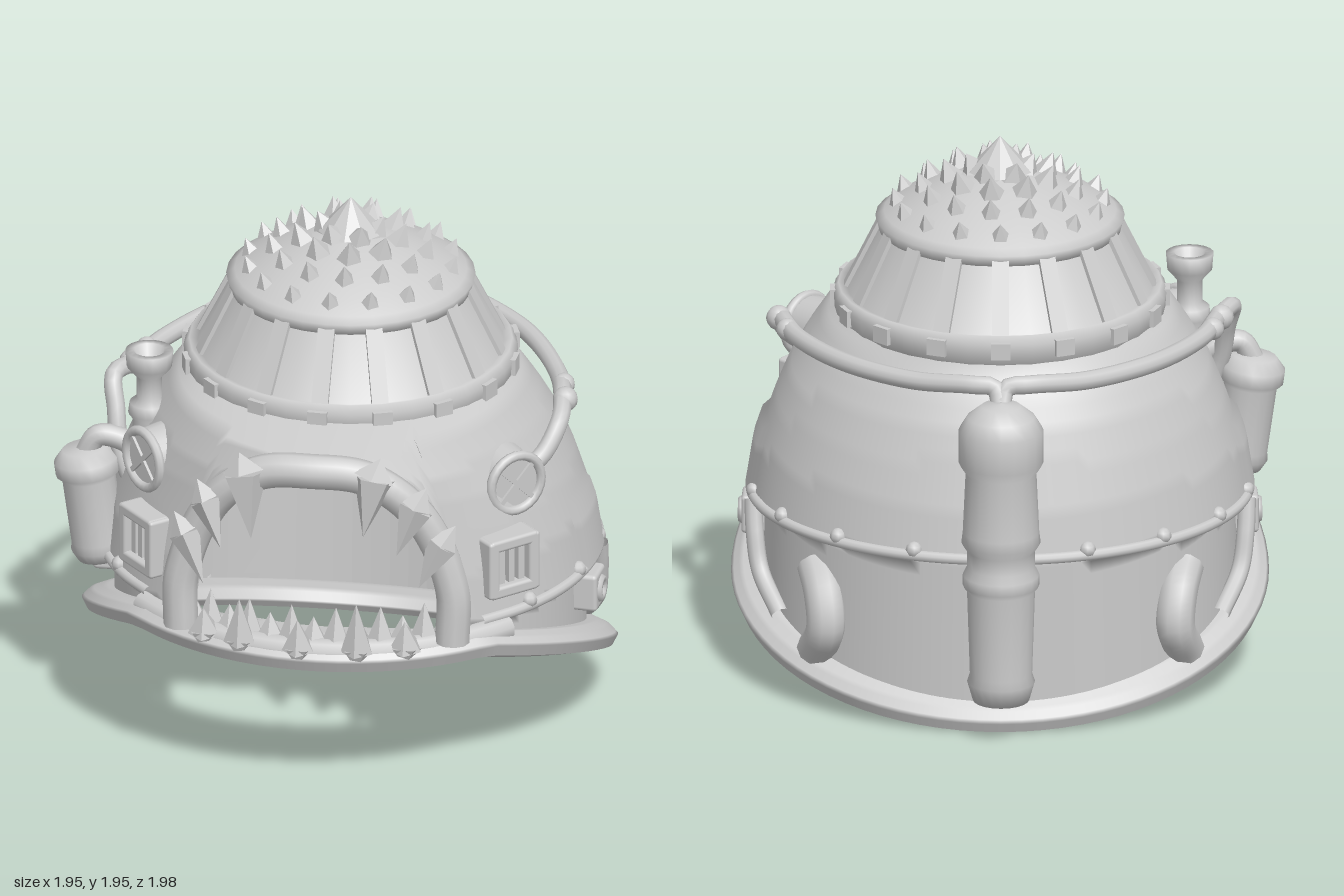
import * as THREE from 'three';
import { ParametricGeometry } from 'three/addons/geometries/ParametricGeometry.js';
import { RoundedBoxGeometry } from 'three/addons/geometries/RoundedBoxGeometry.js';

const mat = new THREE.MeshStandardMaterial({ color: 0xcccccc, side: THREE.DoubleSide });
const flat = new THREE.MeshStandardMaterial({ color: 0xcccccc, side: THREE.DoubleSide, flatShading: true });
const V = (x, y, z) => new THREE.Vector3(x, y, z);
const CX = 0.03, SHIFT = 0.05, MOUTH = 0.6, TAU = Math.PI * 2;

// Shell outline by height: y, half width, front reach, back reach
const OUTLINE = [
  [0.0, 0.84, 0.86, 0.74], [0.63, 0.83, 0.86, 0.75], [0.66, 0.88, 0.86, 0.79], [0.85, 0.85, 0.85, 0.76],
  [1.0, 0.8, 0.84, 0.72], [1.12, 0.75, 0.84, 0.68], [1.22, 0.69, 0.84, 0.63], [1.32, 0.62, 0.81, 0.57], [1.37, 0.56, 0.57, 0.55],
];

function outline(y) {
  let i = 0;
  while (i < OUTLINE.length - 2 && y > OUTLINE[i + 1][0]) i++;
  const a = OUTLINE[i], b = OUTLINE[i + 1];
  const t = THREE.MathUtils.clamp((y - a[0]) / (b[0] - a[0]), 0, 1);
  return [1, 2, 3].map(k => a[k] + (b[k] - a[k]) * t);
}

// Point on the shell; angle 0 is the front, positive towards +x
function surf(th, y, scale = 1, off = 0) {
  const [rx, zf, zb] = outline(y), c = Math.cos(th), s = Math.sin(th);
  return V(CX + (rx * scale + off) * s, y, ((c > 0 ? zf : zb) * scale + off) * c);
}

const brimHeight = z => Math.min(0.33 + 0.37 * z, 0.585);

function lowerEdge(th) {
  const a = THREE.MathUtils.euclideanModulo(th - SHIFT + Math.PI, TAU) - Math.PI;
  const u = Math.abs(a) / MOUTH;
  if (u < 1) return 0.64 + 0.62 * Math.pow(1 - u ** 3, 1 / 3);
  const c = Math.cos(th);
  return brimHeight((c > 0 ? 0.86 : 0.74) * c);
}

export function createModel() {
  const root = new THREE.Group();
  root.name = 'spikedHelmet';

  function add(geo, name, parent = root, m = mat) {
    const mesh = new THREE.Mesh(geo, m);
    mesh.name = name;
    parent.add(mesh);
    return mesh;
  }
  function tube(points, r, name, closed = false, n = 64) {
    return add(new THREE.TubeGeometry(new THREE.CatmullRomCurve3(points, closed), n, r, 10, closed), name);
  }
  function lathe(pts, name, n = 32) {
    return add(new THREE.LatheGeometry(pts.map(p => new THREE.Vector2(p[0], p[1])), n), name);
  }
  // Group on the shell whose +z points outwards
  function mount(name, th, y, off, yaw) {
    const g = new THREE.Group();
    g.name = name;
    g.position.copy(surf(th, y, 1, off));
    g.rotation.y = yaw;
    root.add(g);
    return g;
  }
  function spike(base, tip, r, name, sides = 5) {
    const d = tip.clone().sub(base);
    const m = add(new THREE.ConeGeometry(r, d.length(), sides), name, root, flat);
    m.position.copy(base).add(tip).multiplyScalar(0.5);
    m.quaternion.setFromUnitVectors(V(0, 1, 0), d.normalize());
  }

  // Shell with mouth opening, and its lining
  add(new ParametricGeometry((u, v, p) => {
    const th = u * TAU + Math.PI, lo = lowerEdge(th);
    p.copy(surf(th, lo + (1.37 - lo) * v));
  }, 144, 28), 'shell');
  add(new ParametricGeometry((u, v, p) => {
    const th = u * TAU + Math.PI, lo = lowerEdge(th);
    p.copy(surf(th, lo + (1.33 - lo) * v, 0.92));
  }, 72, 12), 'lining', root, flat);

  // Tilted brim ring swept round the lower edge
  const section = [[1, -0.02], [1.02, 0.02], [0.99, 0.05], [0.94, 0.07], [0.88, 0.07], [0.76, 0.05], [0.71, 0.0], [0.74, -0.03], [0.93, -0.034], [1, -0.02]];
  add(new ParametricGeometry((u, v, p) => {
    const f = v * (section.length - 1), i = Math.min(Math.floor(f), section.length - 2), t = f - i;
    const k = section[i][0] * (1 - t) + section[i + 1][0] * t, dy = section[i][1] * (1 - t) + section[i + 1][1] * t;
    const th = u * TAU, z = (Math.cos(th) > 0 ? 0.94 : 0.78) * k * Math.cos(th);
    p.set(CX + 0.93 * k * Math.sin(th), brimHeight(z) + dy, z);
  }, 80, 27), 'brim');

  // Belt seam round the sides and back, with rivets
  const belt = [];
  for (let i = 0; i <= 24; i++) belt.push(surf(0.75 + (TAU - 1.5) * i / 24, 0.67));
  tube(belt, 0.02, 'belt', false, 96);
  for (let i = 0; i < 13; i++) {
    add(new THREE.SphereGeometry(0.03, 8, 6), 'beltRivet').position.copy(surf(1 + (TAU - 2) * i / 12, 0.69));
  }

  // Collar, panelled cone and cap
  lathe([[0.54, 1.3], [0.585, 1.33], [0.59, 1.4], [0.57, 1.43], [0.54, 1.42], [0.42, 1.66]], 'collarAndCone').position.x = CX;
  lathe([[0.4, 1.63], [0.43, 1.64], [0.44, 1.68], [0.41, 1.7], [0.35, 1.74], [0.25, 1.79], [0.12, 1.84], [0, 1.86]], 'cap').position.x = CX;
  for (let i = 0; i < 16; i++) {
    const a = i / 16 * TAU, c = Math.cos(a), s = Math.sin(a);
    const rib = add(new THREE.BoxGeometry(0.06, 0.27, 0.03), 'coneRib');
    rib.position.set(CX + 0.479 * s, 1.535, 0.479 * c);
    rib.rotation.set(-0.46, a, 0, 'YXZ');
    const stud = add(new THREE.BoxGeometry(0.07, 0.06, 0.04), 'collarStud');
    stud.position.set(CX + 0.58 * s, 1.38, 0.58 * c);
    stud.rotation.y = a;
  }
  // Rows of broad overlapping spikes
  for (const [r, y, n, h] of [[0.36, 1.68, 16, 0.1], [0.27, 1.73, 13, 0.11], [0.18, 1.79, 9, 0.1], [0.1, 1.83, 6, 0.08]]) {
    for (let i = 0; i < n; i++) {
      const a = (i + (n % 4) / 4) / n * TAU, s = Math.sin(a), c = Math.cos(a);
      spike(V(CX + (r - 0.02) * s, y, r * c - 0.02 * c), V(CX + (r + 0.02) * s, y + h, (r + 0.02) * c), 0.065, 'capSpike', 5);
    }
  }
  spike(V(CX, 1.85, 0), V(CX, 1.975, 0), 0.115, 'crownSpike', 10);

  // Mouth frame, thickest at the cheeks
  const lipPoint = (a, off, dy = 0) => {
    const c = Math.cos(a), s = Math.max(Math.sin(a), 0);
    const p = surf(SHIFT + MOUTH * Math.sign(c) * Math.abs(c) ** 0.667, 0.64 + 0.65 * s ** 0.667 + dy, 1, off);
    p.z += 0.06 * c * c;
    return p;
  };
  const lip = [], jaw = [];
  for (let i = 0; i <= 24; i++) {
    lip.push(lipPoint(Math.PI * i / 24, 0.01));
    jaw.push(surf(SHIFT + 0.85 * (i / 12 - 1), 0.62, 1, 0.03));
  }
  tube(lip, 0.062, 'mouthFrame');
  tube(jaw, 0.048, 'jawRim');

  // Upper fangs with roots gripping the frame, and lower teeth
  for (const [a, len, r] of [[0.42, 0.15, 0.06], [0.75, 0.17, 0.065], [1.17, 0.21, 0.08], [2.03, 0.23, 0.085], [2.45, 0.16, 0.06], [2.75, 0.17, 0.06]]) {
    const b = lipPoint(a, 0.06, 0.03), side = Math.cos(a);
    spike(b, V(b.x - side * 0.08, b.y - len, b.z + 0.05), r, 'upperFang');
    spike(b, V(b.x + side * 0.05, b.y + 0.07, b.z - 0.02), r, 'fangRoot');
  }
  for (let i = 0; i < 13; i++) {
    const b = surf(SHIFT + (i / 6 - 1) * 0.56, 0.64, 1, 0.0);
    spike(b, V(b.x, b.y + 0.1 + 0.04 * (i % 2), b.z), 0.055, 'lowerTooth');
  }
  for (const [a, h] of [[-0.4, 0.1], [-0.24, 0.17], [0, 0.12], [0.23, 0.19], [0.42, 0.11]]) {
    const b = surf(a, 0.64, 1, 0.06);
    spike(b, V(b.x, b.y + h, b.z + 0.02), 0.06, 'tusk');
    spike(b, V(b.x, b.y - 0.07, b.z + 0.015), 0.06, 'tuskRoot');
  }

  for (const s of [-1, 1]) {
    // Round lamps with crossed bars
    const lamp = mount('lamp', s * 1.04 + SHIFT, 1.12, -0.045, s * 0.78);
    add(new THREE.CylinderGeometry(0.105, 0.12, 0.16, 20), 'lampBody', lamp).rotation.x = Math.PI / 2;
    add(new THREE.TorusGeometry(0.105, 0.018, 8, 24), 'lampRim', lamp).position.z = 0.08;
    for (const k of [-1, 1]) {
      const bar = add(new THREE.BoxGeometry(0.2, 0.018, 0.02), 'lampBar', lamp);
      bar.position.z = 0.08;
      bar.rotation.z = k * 0.78;
    }

    // Square vents with slats
    const vent = mount('vent', s * 0.86 + SHIFT, 0.86, 0.0, s * 0.8);
    for (const k of [-1, 1]) {
      add(new RoundedBoxGeometry(0.2, 0.045, 0.11, 2, 0.012), 'ventFrame', vent).position.set(0, k * 0.09, 0);
      add(new RoundedBoxGeometry(0.045, 0.22, 0.11, 2, 0.012), 'ventFrame', vent).position.set(k * 0.085, 0, 0);
    }
    for (const k of [-1, 0, 1]) add(new THREE.BoxGeometry(0.025, 0.16, 0.06), 'ventSlat', vent).position.set(k * 0.042, 0, 0);
    add(new THREE.BoxGeometry(0.17, 0.2, 0.04), 'ventBack', vent).position.z = -0.03;

    // Curved side plate hugging the shell, and latch below it
    add(new ParametricGeometry((u, v, p) => {
      const edge = Math.min(u, 1 - u, v, 1 - v) < 0.01 ? -0.01 : 0.02;
      p.copy(surf(s * (1.37 + 0.38 * u), 0.64 + 0.31 * v, 1, edge));
    }, 10, 10), 'sidePlate');
    const latch = mount('latch', s * 1.52, 0.56, 0.02, s * 1.52);
    add(new RoundedBoxGeometry(0.13, 0.14, 0.12, 2, 0.015), 'latchBody', latch);
    add(new THREE.TorusGeometry(0.035, 0.015, 6, 14), 'latchRing', latch).position.z = 0.06;

    // Skirt pipe and gussets
    tube([surf(s * 1.72, 0.66, 1, 0), surf(s * 1.76, 0.55, 1, 0.05), surf(s * 1.82, 0.42, 1, 0.04), surf(s * 2, 0.3, 1, 0.02)], 0.032, 'skirtPipe', false, 20);
    tube([surf(s * 2.2, 0.52, 1, -0.03), surf(s * 2.32, 0.45, 1, 0.02), surf(s * 2.36, 0.34, 1, 0.04), surf(s * 2.25, 0.22, 1, 0)], 0.07, 'skirtGusset', false, 20);
  }

  // Rear tank
  lathe([[0, 0.17], [0.1, 0.17], [0.12, 0.24], [0.11, 0.27], [0.12, 0.58], [0.135, 0.6], [0.135, 0.64], [0.12, 0.67], [0.12, 0.73],
    [0.14, 0.76], [0.135, 0.8], [0.125, 1.02], [0.15, 1.06], [0.15, 1.18], [0.12, 1.23], [0.07, 1.27], [0, 1.28]], 'rearTank', 20).position.set(CX, 0, -0.85);
  for (const y of [0.7, 1.1]) {
    add(new RoundedBoxGeometry(0.2, 0.1, 0.1, 2, 0.02), 'tankBracket').position.set(CX, y, -0.75);
  }

  // Hoses from the rear tank to both sides
  const hose = [[0, 1.22, -0.83], [0.02, 1.31, -0.78], [0.1, 1.32, -0.77], [0.3, 1.3, -0.67], [0.54, 1.29, -0.46], [0.71, 1.28, -0.17], [0.77, 1.28, 0.04]];
  const side = (s, tail) => tube([...hose.map(p => V(CX + s * p[0], p[1], p[2])), ...tail], 0.033, 'hose');
  side(1, [V(0.81, 1.24, 0.15), V(0.76, 1.14, 0.24), V(0.68, 1.1, 0.3)]);
  side(-1, [V(-0.79, 1.28, 0.16), V(-0.77, 1.18, 0.22), V(-0.75, 1.05, 0.26), V(-0.7, 0.92, 0.28)]);
  for (const x of [0.8, -0.74]) {
    for (const [z, r] of [[-0.08, 0.04], [0.04, 0.045]]) {
      add(new THREE.SphereGeometry(r, 12, 8), 'hoseJoint').position.set(x + z * 0.25 * Math.sign(x), 1.28, z);
    }
  }

  // Side canister and flared pipe
  const canister = lathe([[0, -0.21], [0.08, -0.21], [0.1, -0.17], [0.095, -0.14], [0.095, 0.1], [0.115, 0.12], [0.115, 0.17], [0.08, 0.21], [0, 0.22]], 'sideCanister', 18);
  canister.position.set(-0.84, 0.84, 0.29);
  canister.rotation.z = 0.14;
  tube([V(-0.87, 1.02, 0.29), V(-0.82, 1.1, 0.29), V(-0.74, 1.09, 0.28), V(-0.66, 1.04, 0.28)], 0.04, 'canisterPipe', false, 20);
  lathe([[0.06, 1.05], [0.06, 1.18], [0.075, 1.2], [0.07, 1.24], [0.045, 1.26], [0.045, 1.34], [0.08, 1.38], [0.085, 1.44], [0.055, 1.44], [0.04, 1.39], [0, 1.38]], 'flaredPipe', 18).position.set(-0.64, 0, 0.27);

  return root;
}
